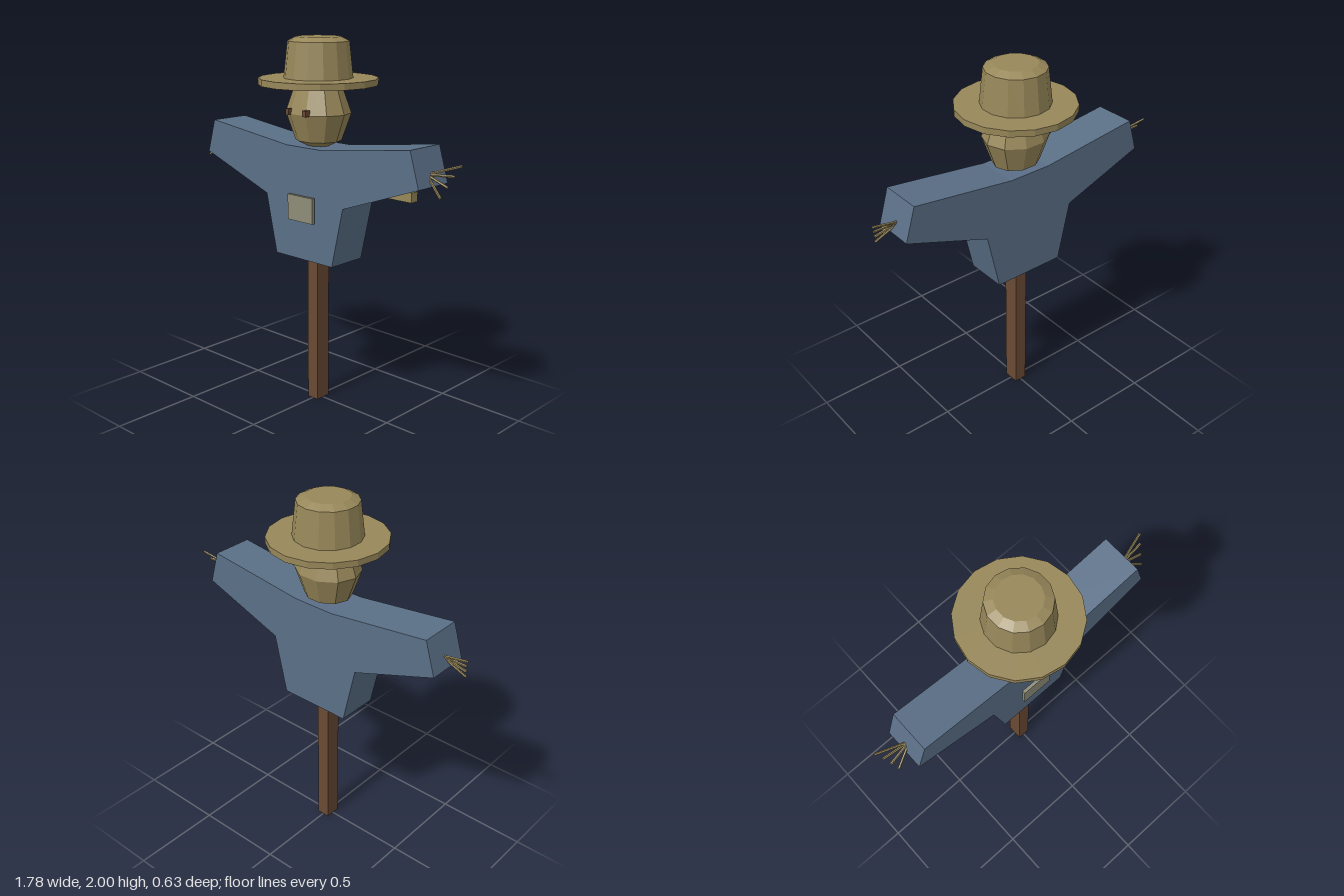
import * as THREE from 'three';

export function createModel() {
  const model = new THREE.Group();
  model.name = 'scarecrow';

  const mat = (name, color) => {
    const m = new THREE.MeshStandardMaterial({ color, flatShading: true });
    m.name = name;
    return m;
  };
  const straw = mat('straw', 0x978759);
  const wood = mat('wood', 0x6b4a35);
  const cloth = mat('blue cloth', 0x5a6f87);
  const patchCloth = mat('patch cloth', 0x8e8d78);

  const add = (name, geometry, material, x = 0, y = 0, z = 0) => {
    const mesh = new THREE.Mesh(geometry, material);
    mesh.name = name;
    mesh.position.set(x, y, z);
    model.add(mesh);
    return mesh;
  };
  const box = (name, material, w, h, d, x, y, z) =>
    add(name, new THREE.BoxGeometry(w, h, d), material, x, y, z);

  // Upright pole and the crossbar poking out under the sleeves
  box('pole', wood, 0.072, 1.4, 0.09, 0, 0.7, 0);
  box('crossbar', straw, 1.29, 0.05, 0.05, 0, 1.255, 0);

  // Shirt: one mirrored outline, extruded front to back
  const half = [[0.205, 0.828], [0.278, 1.152], [0.756, 1.325], [0.7, 1.51], [0.12, 1.437]];
  const outline = [...half, ...half.map(([x, y]) => [-x, y]).reverse()];
  const shirt = new THREE.ExtrudeGeometry(
    new THREE.Shape(outline.map(([x, y]) => new THREE.Vector2(x, y))),
    { depth: 0.232, bevelEnabled: false }
  );
  add('shirt', shirt, cloth, 0, 0, -0.116);
  box('patch', patchCloth, 0.178, 0.138, 0.018, 0, 1.112, 0.134);

  // Head: a coarse sphere, slightly flattened front to back
  const head = add('head', new THREE.SphereGeometry(0.182, 10, 4), straw, 0, 1.61, 0);
  head.scale.set(1, 1.125, 0.89);

  // Hat: flat brim and tapered crown with a chamfered top
  add('hatBrim', new THREE.CylinderGeometry(0.314, 0.314, 0.034, 16), straw, 0, 1.773, 0);
  const crown = [[0.183, 1.78], [0.161, 1.978], [0.115, 2], [0, 2]];
  add('hatCrown', new THREE.LatheGeometry(crown.map(([r, y]) => new THREE.Vector2(r, y)), 14), straw);

  // Eyes and the straw fingers, mirrored left and right
  const tips = [[0.886, 1.436, -0.045], [0.868, 1.388, -0.015], [0.85, 1.337, 0.015], [0.832, 1.286, 0.045]];
  for (const side of [1, -1]) {
    const label = side > 0 ? 'left' : 'right';
    box(label + 'Eye', wood, 0.022, 0.032, 0.034, side * 0.061, 1.623, 0.155);

    const wrist = new THREE.Vector3(side * 0.715, 1.379, 0);
    tips.forEach(([x, y, z], i) => {
      const dir = new THREE.Vector3(side * x, y, z).sub(wrist);
      const finger = add(label + 'StrawFinger' + (i + 1),
        new THREE.CylinderGeometry(0.007, 0.007, dir.length(), 5), straw);
      finger.position.copy(wrist).addScaledVector(dir, 0.5);
      finger.quaternion.setFromUnitVectors(new THREE.Vector3(0, 1, 0), dir.normalize());
    });
  }

  return model;
}
